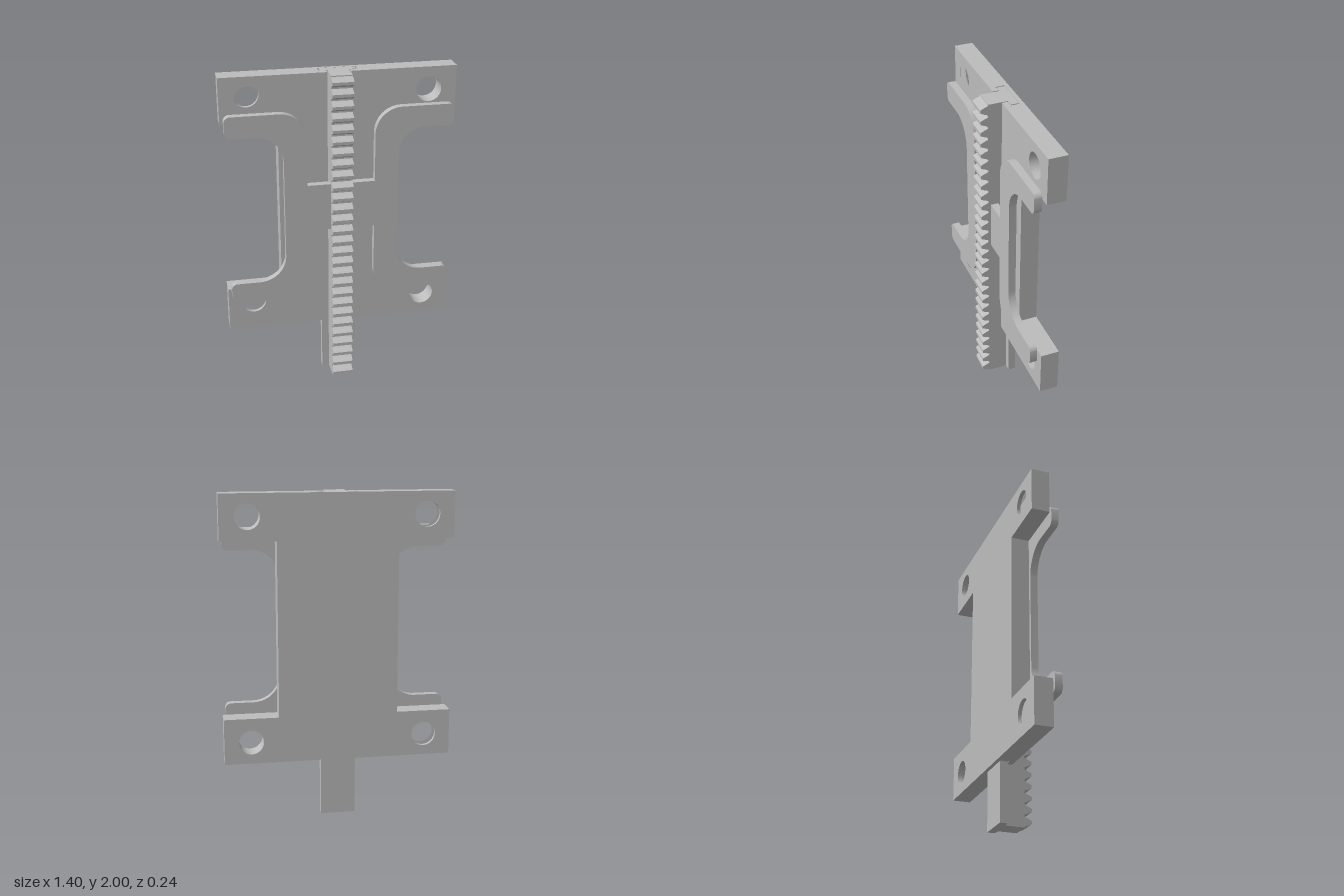
import * as THREE from 'three';
import { toCreasedNormals } from 'three/addons/utils/BufferGeometryUtils.js';

// Polygon of [x, y, radius] with rounded right-angle corners
function roundedShape(points) {
  const shape = new THREE.Shape();
  const k = 0.5523;
  points.forEach(([x, y, r = 0], i) => {
    const corner = new THREE.Vector2(x, y);
    const prev = points[(i + points.length - 1) % points.length];
    const next = points[(i + 1) % points.length];
    const toward = (p, d) =>
      new THREE.Vector2(p[0] - x, p[1] - y).normalize().multiplyScalar(d).add(corner);
    const a = toward(prev, r), b = toward(next, r);
    if (i === 0) shape.moveTo(a.x, a.y); else shape.lineTo(a.x, a.y);
    if (r > 0) {
      const c1 = toward(prev, r * (1 - k)), c2 = toward(next, r * (1 - k));
      shape.bezierCurveTo(c1.x, c1.y, c2.x, c2.y, b.x, b.y);
    }
  });
  shape.closePath();
  return shape;
}

function extrude(shape, z0, z1) {
  const geo = new THREE.ExtrudeGeometry(shape, { depth: z1 - z0, bevelEnabled: false, curveSegments: 16 });
  geo.translate(0, 0, z0);
  return toCreasedNormals(geo, 0.5);
}

export function createModel() {
  const group = new THREE.Group();
  const grey = new THREE.MeshStandardMaterial({ color: 0xbcbcbc });
  grey.name = 'plain grey';
  const add = (name, geo, parent = group) => {
    const mesh = new THREE.Mesh(geo, grey);
    mesh.name = name;
    parent.add(mesh);
    return mesh;
  };

  // Mounting plate: I-shaped, with four bolt holes and a T-slot down the front
  const plate = new THREE.Group();
  plate.name = 'mountingPlate';
  group.add(plate);
  const bottom = 0.365, top = 2, waist = 0.365, side = 0.7;
  const addHole = (shape, x, y) => {
    const hole = new THREE.Path();
    hole.absarc(x, y, 0.076, 0, Math.PI * 2, true);
    shape.holes.push(hole);
  };
  const outer = [[side, bottom], [side, 0.65], [waist, 0.65], [waist, 1.72], [side, 1.72], [side, top]];
  const mirrored = outer.map(([x, y]) => [-x, y]).reverse();
  const back = roundedShape([...outer, ...mirrored]);
  for (const x of [-0.535, 0.535]) for (const y of [0.5, 1.865]) addHole(back, x, y);
  add('plateBack', extrude(back, -0.119, -0.096), plate);
  const layers = [['slotWall', 0.115, -0.096, -0.041], ['slotLip', 0.07, -0.041, -0.006]];
  for (const [name, inner, z0, z1] of layers) {
    for (const s of [1, -1]) {
      const half = [[inner, bottom], ...outer, [inner, top]].map(([x, y]) => [x * s, y]);
      const shape = roundedShape(half);
      for (const y of [0.5, 1.865]) addHole(shape, 0.535 * s, y);
      add(name + (s > 0 ? 'Left' : 'Right'), extrude(shape, z0, z1), plate);
    }
  }

  // Sliding rack: T-shaped rail with 28 teeth
  const rack = new THREE.Group();
  rack.name = 'slidingRack';
  group.add(rack);
  const flange = new THREE.BoxGeometry(0.214, 2, 0.048);
  flange.translate(0, 1, -0.069);
  add('rackFlange', flange, rack);
  const teeth = 28, pitch = 2 / teeth, width = 0.126;
  const flank = [[0.0735, 0.031], [0.08, 0.0265], [0.094, 0.021], [0.108, 0.015], [0.119, 0.009]];
  const profile = [[-0.045, 2], [-0.045, 0], [0.0735, 0]];
  for (let i = 0; i < teeth; i++) {
    const y = (i + 0.5) * pitch - 0.001;
    for (const [z, h] of flank) profile.push([z, y - h]);
    for (const [z, h] of [...flank].reverse()) profile.push([z, y + h]);
  }
  profile.push([0.0735, 2]);
  const rail = extrude(roundedShape(profile), 0, width);
  rail.rotateY(-Math.PI / 2);
  rail.translate(width / 2, 0, 0);
  add('toothedRail', rail, rack);

  // Bracket: four curved arms joined by a bridge across the rack
  const quarter = [
    [0.204, 0.147, 0], [0.204, 0.602, 0.16], [0.681, 0.602, 0.035],
    [0.681, 0.47, 0.035], [0.342, 0.47, 0.165],
  ];
  const turn = (sx, sy) => quarter.map(([x, y, r]) => [x * sx, 1.185 + y * sy, r]);
  const outline = [
    ...turn(1, 1), ...turn(1, -1).reverse(),
    ...turn(-1, -1), ...turn(-1, 1).reverse(),
  ];
  add('armBracket', extrude(roundedShape(outline), 0.012, 0.058));

  return group;
}
